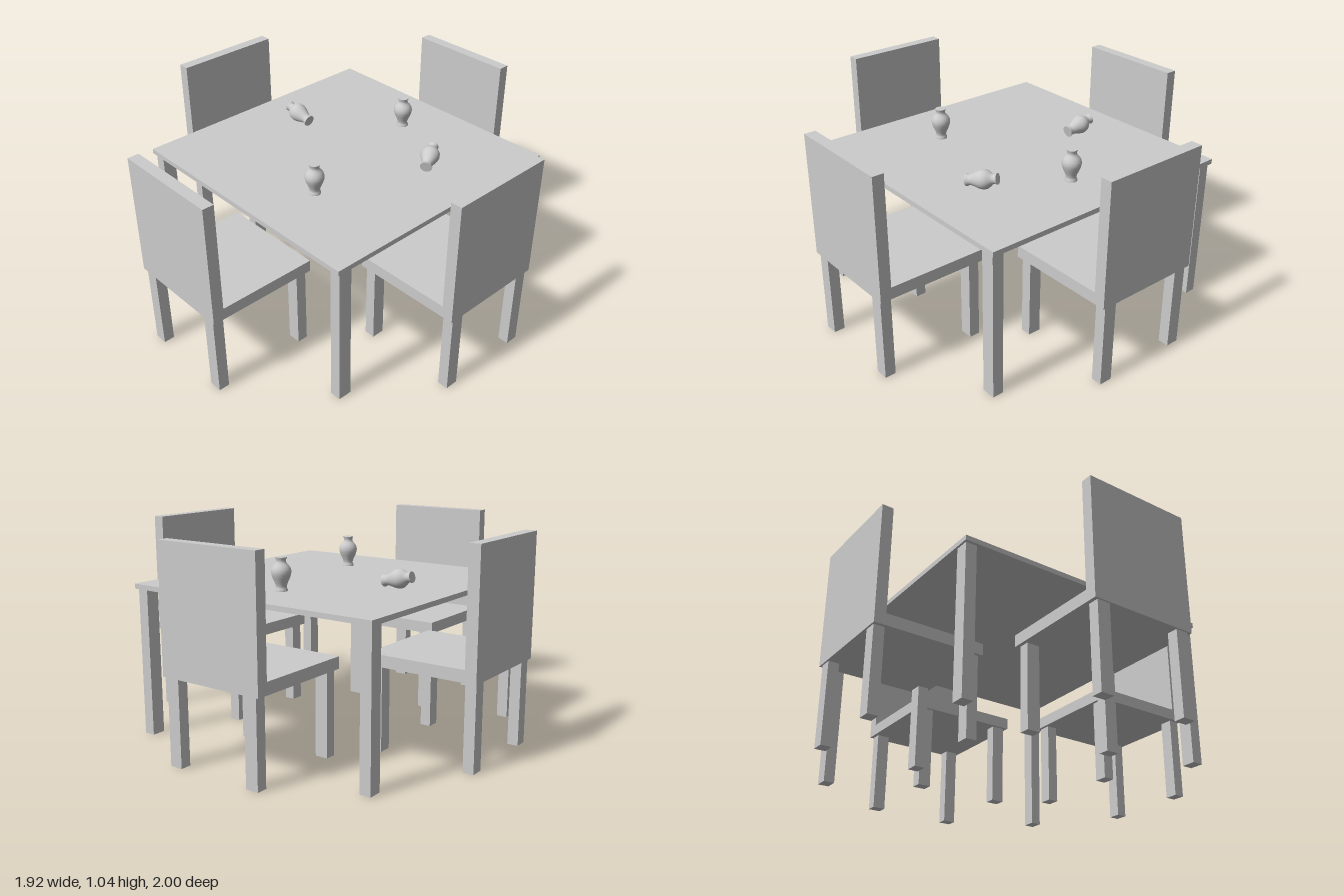
import * as THREE from 'three';

const material = new THREE.MeshStandardMaterial({ color: 0xcccccc });

function addBox(parent, name, [w, h, d], [x, y, z]) {
  const mesh = new THREE.Mesh(new THREE.BoxGeometry(w, h, d), material);
  mesh.name = name;
  mesh.position.set(x, y, z);
  parent.add(mesh);
}

// Table: thin top on four square-set legs
function createTable() {
  const table = new THREE.Group();
  table.name = 'table';
  addBox(table, 'tableTop', [1.395, 0.025, 1.398], [0, 0.757, 0]);
  for (const sx of [-1, 1])
    for (const sz of [-1, 1])
      addBox(table, 'tableLeg', [0.057, 0.745, 0.07], [sx * 0.659, 0.3725, sz * 0.649]);
  table.position.set(-0.032, 0, -0.066);
  return table;
}

// Chair: outer face of the backrest at z = 0, seat reaching towards -z
function createChair(name) {
  const chair = new THREE.Group();
  chair.name = name;
  const width = 0.563, depth = 0.573, back = 0.058;

  // Seat and backrest are one L-shaped profile swept across the width
  const profile = new THREE.Shape([
    [0, 0.425], [depth, 0.425], [depth, 0.485], [back, 0.485], [back, 1.045], [0, 1.045],
  ].map(([x, y]) => new THREE.Vector2(x, y)));
  const geometry = new THREE.ExtrudeGeometry(profile, { depth: width, bevelEnabled: false });
  geometry.translate(0, 0, -width / 2);
  geometry.rotateY(Math.PI / 2);
  const body = new THREE.Mesh(geometry, material);
  body.name = 'seatAndBackrest';
  chair.add(body);

  for (const x of [-0.229, 0.229])
    for (const z of [-0.036, -0.53])
      addBox(chair, 'chairLeg', [0.067, 0.425, 0.055], [x, 0.2125, z]);
  return chair;
}

// Vase: lathed profile of [radius, height], closed at foot and mouth
const vaseProfile = [
  [0.03, 0], [0.03, 0.006], [0.026, 0.014], [0.025, 0.022], [0.03, 0.038], [0.04, 0.06],
  [0.046, 0.078], [0.048, 0.092], [0.045, 0.107], [0.037, 0.12], [0.027, 0.131],
  [0.023, 0.139], [0.023, 0.148], [0.027, 0.156], [0.027, 0.16],
].map(([r, y]) => new THREE.Vector2(r, y));

function createVase(name, foot, axis) {
  const vase = new THREE.Group();
  vase.name = name;
  const body = new THREE.Mesh(new THREE.LatheGeometry(vaseProfile, 32), material);
  body.name = 'vaseBody';
  vase.add(body);
  for (const [part, r, y, turn] of [['vaseFoot', 0.03, 0, 1], ['vaseMouth', 0.027, 0.16, -1]]) {
    const cap = new THREE.Mesh(new THREE.CircleGeometry(r, 32), material);
    cap.name = part;
    cap.position.y = y;
    cap.rotation.x = turn * Math.PI / 2;
    vase.add(cap);
  }
  vase.position.set(...foot);
  vase.quaternion.setFromUnitVectors(new THREE.Vector3(0, 1, 0), new THREE.Vector3(...axis).normalize());
  return vase;
}

export function createModel() {
  const model = new THREE.Group();
  model.name = 'diningSet';
  model.add(createTable());

  // Four chairs facing the table
  for (const [name, x, z, turn] of [
    ['frontChair', -0.037, 1, 0],
    ['leftChair', 0.96, -0.065, 0.5],
    ['backChair', -0.041, -1, 1],
    ['rightChair', -0.963, -0.013, -0.5],
  ]) {
    const chair = createChair(name);
    chair.position.set(x, 0, z);
    chair.rotation.y = turn * Math.PI;
    model.add(chair);
  }

  // Two vases standing, two lying on their sides
  model.add(
    createVase('standingVaseBack', [-0.033, 0.77, -0.489], [0, 1, 0]),
    createVase('standingVaseFront', [0.145, 0.77, 0.3], [0, 1, 0]),
    createVase('lyingVaseRight', [-0.362, 0.8, -0.115], [-0.98, 0.2, 0]),
    createVase('lyingVaseLeft', [0.382, 0.8, -0.22], [-0.48, 0.2, -0.85]),
  );
  return model;
}
